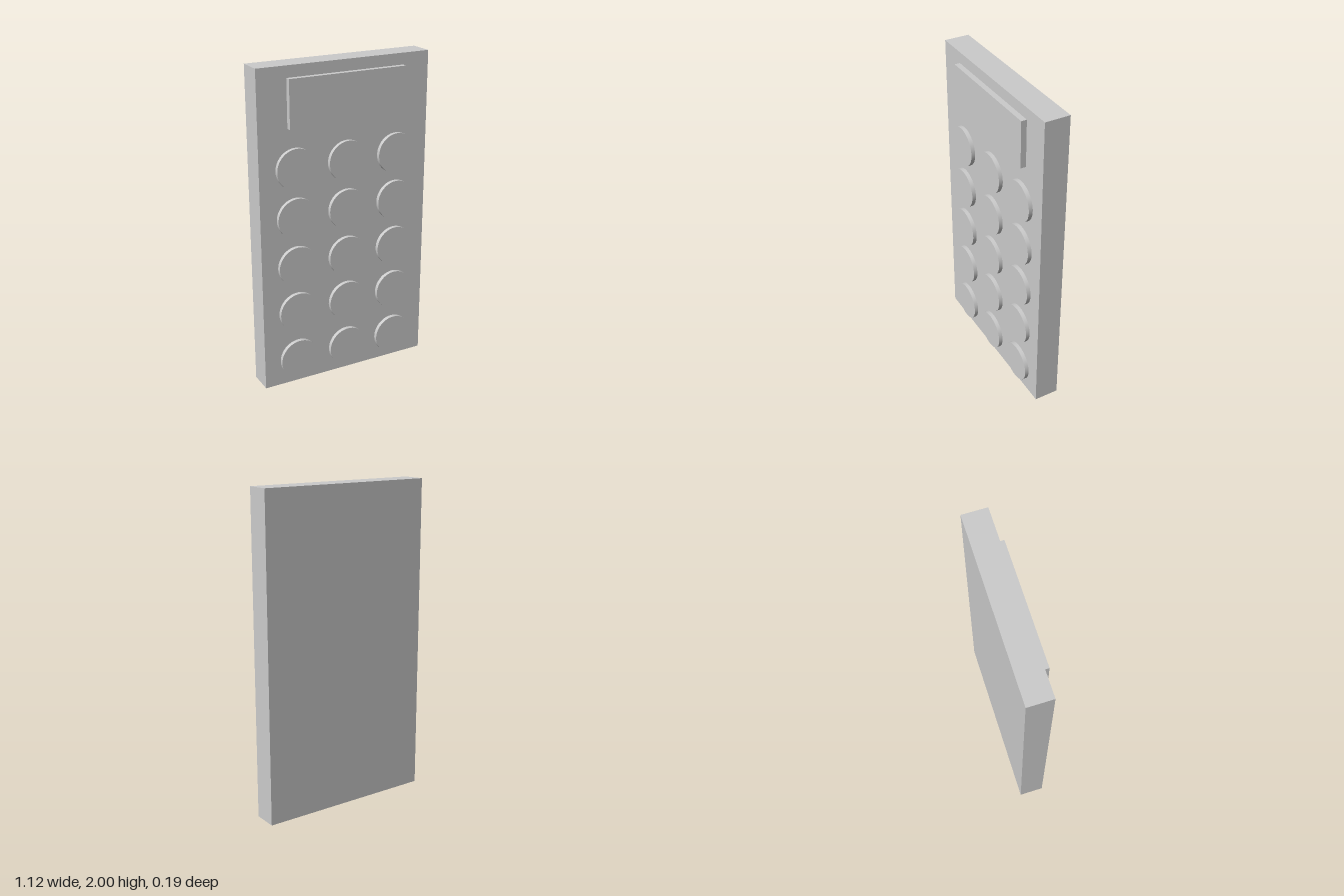
import * as THREE from 'three';

const FACE_Z = 0.06; // front face of the body
const BACK_Z = -0.094;
const SINK = 0.01; // how far raised parts reach into the body

export function createModel() {
  const group = new THREE.Group();
  group.name = 'calculator';
  const material = new THREE.MeshStandardMaterial({ color: 0xcccccc });

  const add = (name, geometry, x, y, z) => {
    const mesh = new THREE.Mesh(geometry, material);
    mesh.name = name;
    mesh.position.set(x, y, z);
    group.add(mesh);
  };

  // Flat slab body
  const depth = FACE_Z - BACK_Z;
  add('body', new THREE.BoxGeometry(1.12, 2, depth), 0, 1, (FACE_Z + BACK_Z) / 2);

  // Raised display panel
  const screenDepth = 0.034 + SINK;
  add('screen', new THREE.BoxGeometry(0.76, 0.29, screenDepth), 0.005, 1.785, FACE_Z - SINK + screenDepth / 2);

  // Round keys: five rows of three
  const keyDepth = 0.025 + SINK;
  const keyGeometry = new THREE.CylinderGeometry(0.125, 0.125, keyDepth, 64).rotateX(Math.PI / 2);
  [1.398, 1.095, 0.788, 0.483, 0.161].forEach((y, row) => {
    [-0.331, 0.007, 0.341].forEach((x, column) => {
      add(`keyRow${row + 1}Column${column + 1}`, keyGeometry, x, y, FACE_Z - SINK + keyDepth / 2);
    });
  });

  return group;
}
